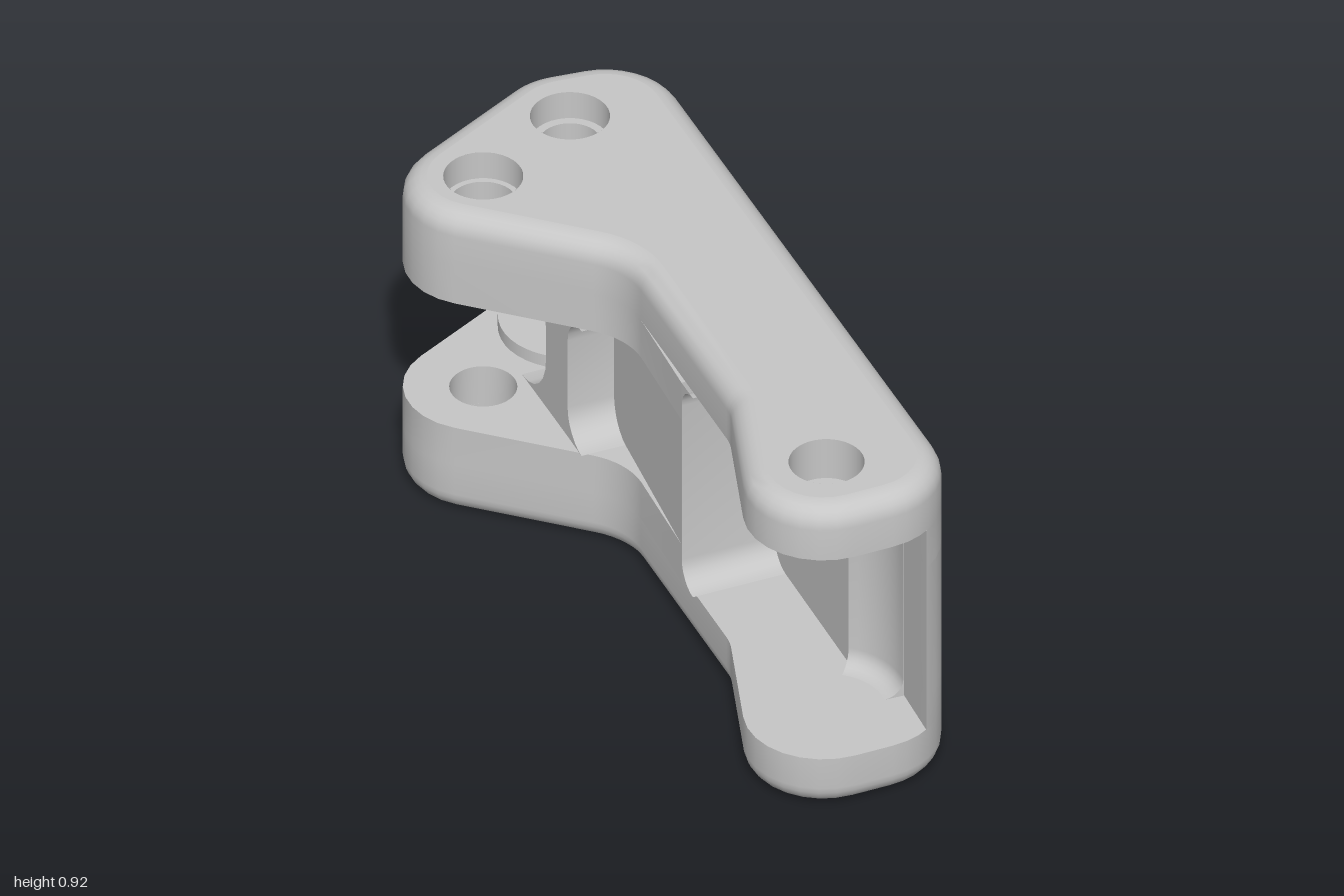
import * as THREE from 'three';
import { toCreasedNormals } from 'three/addons/utils/BufferGeometryUtils.js';

const V = (x, z) => new THREE.Vector2(x, z); // plan point: x, z
const HALF = 0.458;    // half of the total height
const FORK = 0.307;    // half height of the front slot
const CLEVIS = 0.192;  // half height of the rear slot
const ROUND = 0.06;    // edge rounding

// Polygon corners [x, z, radius] turned into a smooth closed outline
function filletOutline(corners, steps = 8) {
  const n = corners.length, out = [];
  corners.forEach(([x, z, r], i) => {
    const a = corners[(i + n - 1) % n], b = corners[(i + 1) % n];
    const p = V(x, z);
    const u = V(a[0], a[1]).sub(p).normalize(), v = V(b[0], b[1]).sub(p).normalize();
    const half = Math.acos(u.dot(v)) / 2;
    const c = u.clone().add(v).normalize().multiplyScalar(r / Math.sin(half)).add(p);
    const t = r / Math.tan(half);
    const s = u.multiplyScalar(t).add(p).sub(c), e = v.multiplyScalar(t).add(p).sub(c);
    const turn = Math.atan2(s.cross(e), s.dot(e));
    for (let k = 0; k <= steps; k++) {
      out.push(s.clone().rotateAround(V(0, 0), turn * k / steps).add(c));
    }
  });
  return out;
}

// Shift a path along its outward normal
function offset(path, d, closed) {
  const n = path.length;
  return path.map((p, i) => {
    const a = closed ? path[(i + n - 1) % n] : path[Math.max(i - 1, 0)];
    const b = closed ? path[(i + 1) % n] : path[Math.min(i + 1, n - 1)];
    const t = b.clone().sub(a).normalize();
    return V(p.x - t.y * d, p.y + t.x * d);
  });
}

// Surface through rows of plan points at given heights
function loft(rows, heights, closed) {
  const n = rows[0].length, pos = [], index = [];
  rows.forEach((row, j) => row.forEach(p => pos.push(p.x, heights[j], p.y)));
  for (let j = 0; j < rows.length - 1; j++) {
    for (let i = 0; i < (closed ? n : n - 1); i++) {
      const k = (i + 1) % n, a = j * n + i, b = j * n + k;
      index.push(a, b, b + n, a, b + n, a + n);
    }
  }
  const g = new THREE.BufferGeometry();
  g.setAttribute('position', new THREE.Float32BufferAttribute(pos, 3));
  g.setIndex(index);
  return toCreasedNormals(g, 0.6);
}

// Slot wall with a concave fillet at its top and bottom
function coveWall(path, h, r, steps = 6) {
  const rows = [], ys = [];
  for (const side of [-1, 1]) {
    for (let k = 0; k <= steps; k++) {
      const q = (side < 0 ? k : steps - k) / steps * Math.PI / 2;
      const row = offset(path, 0.002 + r * (1 - Math.sin(q)));
      rows.push([path[0], ...row, path[path.length - 1]]);
      ys.push(side * (h - r * (1 - Math.cos(q))));
    }
  }
  return loft(rows, ys, false);
}

function planShape(points, holes = []) {
  const s = new THREE.Shape(points.map(p => V(p.x, -p.y)));
  for (const [x, z, r] of holes) {
    s.holes.push(new THREE.Path().absarc(x, -z, r, 0, Math.PI * 2, true));
  }
  return s;
}

function slab(points, y0, y1, holes) {
  const g = new THREE.ExtrudeGeometry(planShape(points, holes),
    { depth: y1 - y0, bevelEnabled: false, curveSegments: 20 });
  g.rotateX(-Math.PI / 2).translate(0, y0, 0);
  return toCreasedNormals(g, 0.5);
}

const sheet = (points, y, holes) =>
  new THREE.ShapeGeometry(planShape(points, holes), 20).rotateX(-Math.PI / 2).translate(0, y, 0);

export function createModel() {
  const grey = new THREE.MeshStandardMaterial({ color: 0xc6c6c6, side: THREE.DoubleSide });
  grey.name = 'plain grey';
  const model = new THREE.Group();
  model.name = 'clevisArm';
  const add = (parent, name, geometry) => {
    const m = new THREE.Mesh(geometry, grey);
    m.name = name;
    parent.add(m);
    return m;
  };

  // Plan outline: front right, rear right, rear, ear, neck, waist, front left
  const outline = filletOutline([
    [0.503, 0.96, 0.2], [0.272, -1.0, 0.2], [-0.05, -1.0, 0.2], [-0.626, -0.626, 0.19],
    [-0.03, -0.2, 0.2], [0.042, 0.45, 0.15], [-0.07, 1.03, 0.2],
  ]);

  // Holes: pivot (blind), ear (through), front pin (blind)
  const pivot = [0, -0.79, 0.1], ear = [-0.28, -0.61, 0.1], pin = [0.19, 0.79, 0.095];
  const earBore = [ear[0], ear[1], 0.085];

  // Slot faces, square to the arm, and the round clearance beside the pin
  const frontFace = [V(0, 0.17), V(0.25, 0.142)];
  const clearance = [];
  for (let k = 0; k <= 8; k++) {
    const a = -0.997 * (1 - k / 8);
    clearance.push(V(pin[0] + 0.202 * Math.cos(a), pin[1] + 0.202 * Math.sin(a)));
  }
  const frontSlot = [...frontFace, ...clearance, V(0.403, 0.945)];
  const rearFace = [V(0.225, -0.525), V(-0.155, -0.48)];
  const neckFace = [V(-0.14, -0.35), V(-0.015, -0.363)];

  // Solid core joining the side wall and the neck
  const sideWall = outline.filter(p => p.x > 0.19 && p.y < 0.945);
  add(model, 'core', slab([...sideWall, V(0.19, -0.972), ...rearFace, ...neckFace, ...frontSlot],
    -CLEVIS, CLEVIS));
  add(model, 'frontSlotWall', coveWall(frontFace, FORK, 0.07));
  add(model, 'pinClearance', coveWall(clearance, FORK, 0.05));
  add(model, 'rearSlotWall', coveWall(rearFace, CLEVIS, 0.15));
  add(model, 'neckGroove', coveWall(neckFace, CLEVIS, 0.09));

  // Upper half, mirrored for the lower half
  const rear = outline.filter(p => p.y < 0.1 || (p.x > 0.4 && p.y < 0.945));
  for (const side of [1, -1]) {
    const half = new THREE.Group();
    half.name = side > 0 ? 'upperHalf' : 'lowerHalf';
    half.scale.y = side;

    // Fork plate with rounded outer edge
    const rows = [outline], ys = [FORK];
    for (let k = 0; k <= 6; k++) {
      const q = k / 6 * Math.PI / 2;
      rows.push(offset(outline, -ROUND * (1 - Math.cos(q)), true));
      ys.push(HALF - ROUND + ROUND * Math.sin(q));
    }
    add(half, 'plateEdge', loft(rows, ys, true));
    add(half, 'plateFace', sheet(rows[rows.length - 1], HALF, [pivot, ear, pin]));
    const inner = sheet(outline, FORK, [earBore]);
    inner.setIndex([...inner.index.array].reverse());
    inner.computeVertexNormals();
    add(half, 'plateInside', inner);

    // Thicker rear jaw and its pivot boss
    add(half, 'rearJaw', slab([...rear, ...frontSlot], CLEVIS, FORK, [earBore]));
    add(half, 'pivotBoss', new THREE.CylinderGeometry(0.18, 0.18, 0.035, 40)
      .translate(pivot[0], CLEVIS - 0.0175, pivot[1]));

    // Hole walls, ledges and floors
    const bore = (name, [x, z], r, y0, y1) => add(half, name,
      new THREE.CylinderGeometry(r, r, y1 - y0, 32, 1, true).translate(x, (y0 + y1) / 2, z));
    const ring = (name, [x, z], r0, r1, y) => add(half, name,
      new THREE.RingGeometry(r0, r1, 32).rotateX(-Math.PI / 2).translate(x, y, z));
    for (const [name, h, r] of [['pivot', pivot, 0.078], ['ear', ear, 0.085]]) {
      bore(name + 'Counterbore', h, 0.1, HALF - 0.08, HALF);
      ring(name + 'Ledge', h, r, 0.1, HALF - 0.08);
      bore(name + 'Bore', h, r, FORK, HALF - 0.08);
    }
    bore('pinHole', pin, 0.095, HALF - 0.12, HALF);
    for (const [name, h, r, y] of [['pivotFloor', pivot, 0.078, FORK + 0.01],
      ['pinFloor', pin, 0.095, HALF - 0.12]]) {
      add(half, name, new THREE.CircleGeometry(r, 32).rotateX(-Math.PI / 2).translate(h[0], y, h[1]));
    }
    model.add(half);
  }
  model.children.forEach(c => { c.position.y += HALF; });
  return model;
}
